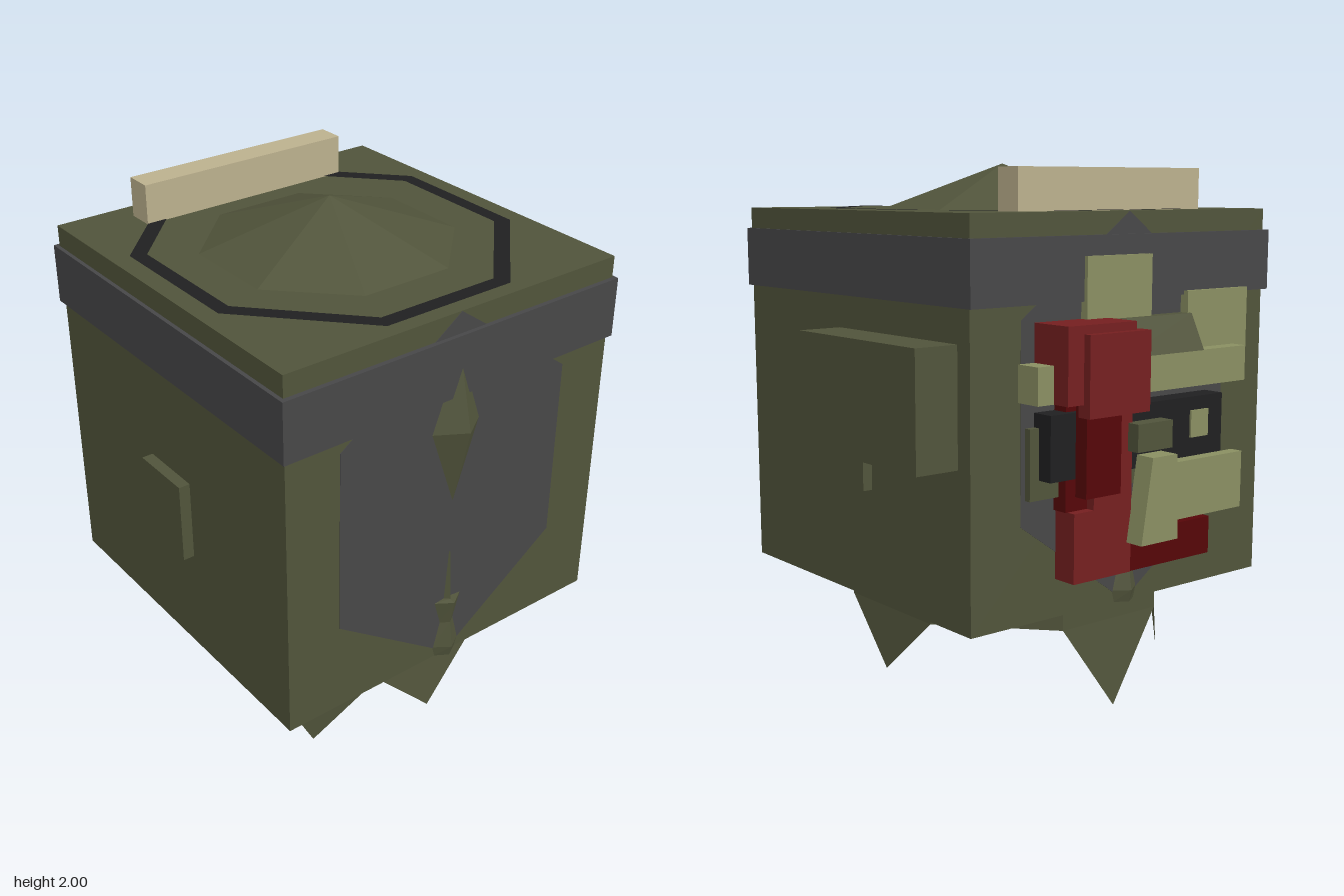
import * as THREE from 'three';

const mat = (name, color, extra = {}) => {
  const m = new THREE.MeshStandardMaterial({ color, ...extra });
  m.name = name;
  return m;
};

export function createModel() {
  const root = new THREE.Group();
  root.name = 'cubeDevice';
  const olive = mat('olive', 0x51543b, { flatShading: true });
  const oliveThin = mat('oliveThin', 0x51543b, { side: THREE.DoubleSide });
  const lightOlive = mat('lightOlive', 0x8a8f62);
  const grey = mat('grey', 0x474748);
  const black = mat('black', 0x202021);
  const tan = mat('tan', 0xbcb18e);
  const red = mat('red', 0x751f20);
  const darkRed = mat('darkRed', 0x560608);
  const CX = -0.065, CZ = 0.065;

  const add = (name, geo, material, parent = root) => {
    const mesh = new THREE.Mesh(geo, material);
    mesh.name = name;
    parent.add(mesh);
    return mesh;
  };
  // Box given by its limits on each axis
  const box = (name, material, x0, x1, y0, y1, z0, z1, parent) => {
    const mesh = add(name, new THREE.BoxGeometry(x1 - x0, y1 - y0, z1 - z0), material, parent);
    mesh.position.set((x0 + x1) / 2, (y0 + y1) / 2, (z0 + z1) / 2);
    return mesh;
  };
  const extrude = (pts, depth) => new THREE.ExtrudeGeometry(
    new THREE.Shape(pts.map(p => new THREE.Vector2(...p))), { depth, bevelEnabled: false });
  const polygons = (points, index) => {
    const g = new THREE.BufferGeometry();
    g.setAttribute('position', new THREE.Float32BufferAttribute(points.flat(), 3));
    g.setIndex(index);
    const flat = g.toNonIndexed();
    flat.computeVertexNormals();
    return flat;
  };

  // Main body, band and side housings
  box('body', olive, -0.772, 0.642, 0.42, 1.83, -0.642, 0.772);
  box('band', grey, -0.787, 0.653, 1.525, 1.75, -0.66, 0.79);
  box('sideHousing', olive, 0.64, 0.812, 0.985, 1.405, -0.575, 0.135);
  box('leftPad', olive, 0.64, 0.68, 0.83, 1.14, -0.06, 0.19);
  box('rightPad', olive, -0.815, -0.77, 0.83, 1.14, -0.06, 0.19);
  box('topBar', tan, -0.505, 0.37, 1.83, 1.98, -0.555, -0.45);

  // Faceted roof and the dark inlay around it
  const roof = add('roofCone', new THREE.ConeGeometry(0.47, 0.17, 8), olive);
  roof.position.set(CX, 1.915, CZ);
  roof.rotation.y = Math.PI / 8;
  const ringGeo = new THREE.RingGeometry(0.63, 0.69, 8, 1, Math.PI / 8).scale(1, 1.06, 1);
  const ring = add('roofInlay', ringGeo, black);
  ring.position.set(CX, 1.833, 0.04);
  ring.rotation.x = -Math.PI / 2;

  // Hexagonal inlays and finials on the front and back
  const hex = [[0, 0.42], [0.493, 0.77], [0.493, 1.475], [0, 1.829], [-0.493, 1.475], [-0.493, 0.77]];
  const rows = [[0.88, 0.006, 0.006], [0.675, 0.02, 0.02], [0.67, 0.065, 0.042],
    [0.57, 0.035, 0.025], [0.465, 0.062, 0.042], [0.42, 0.05, 0.03]];
  const finialIndex = [];
  for (let i = 0; i < rows.length - 1; i++) {
    for (let j = 0; j < 2; j++) {
      const a = i * 3 + j, b = a + 3;
      finialIndex.push(a, b, a + 1, b, b + 1, a + 1);
    }
  }
  const last = (rows.length - 1) * 3;
  finialIndex.push(last, last + 2, last + 1);
  const finialGeo = polygons(rows.flatMap(([y, w, d]) => [[-w, y, 0], [0, y, d], [w, y, 0]]), finialIndex);
  for (const [name, z, turn] of [['front', 0.771, 0], ['back', -0.641, Math.PI]]) {
    const face = new THREE.Group();
    face.name = name + 'Trim';
    face.position.set(CX, 0, z);
    face.rotation.y = turn;
    root.add(face);
    add(name + 'Inlay', extrude(hex, 0.003), grey, face);
    add(name + 'Finial', finialGeo, olive, face);
  }
  // Diamond stud on the front
  add('frontDiamond', polygons(
    [[CX, 1.405, 0.845], [CX, 1.71, 0.77], [CX - 0.113, 1.4, 0.77], [CX, 1.08, 0.77], [CX + 0.107, 1.4, 0.77]],
    [0, 1, 2, 0, 2, 3, 0, 3, 4, 0, 4, 1]), olive);

  // Broken octagonal skirt: direction in eighths from +x towards +z, spike tip height
  const skirt = [[0, 0.095], [2, 0.095], [3, 0.005], [5, 0.095], [6, 0], [7, null]];
  const corner = (e, y, scale = 1) => {
    const a = e * Math.PI / 4;
    return [CX + 0.606 * scale * Math.cos(a), y, 0.048 + 0.67 * scale * Math.sin(a)];
  };
  for (const [e, tip] of skirt) {
    const pts = [corner(e - 0.5, 0.42), corner(e + 0.5, 0.42), corner(e + 0.5, 0.33), corner(e - 0.5, 0.33)];
    const index = [0, 1, 2, 0, 2, 3];
    if (tip !== null) {
      pts.push(corner(e, tip, 0.96));
      index.push(3, 2, 4);
    }
    add('skirtSpike', polygons(pts, index), oliveThin);
  }

  // Machinery on the back
  const rear = new THREE.Group();
  rear.name = 'rearMachinery';
  root.add(rear);
  const parts = [
    ['redHousing', red, 0.06, 0.37, 1.2, 1.465, -0.815, -0.64],
    ['redCover', red, 0.02, 0.3, 1.155, 1.435, -0.845, -0.79],
    ['redStrut', darkRed, 0.12, 0.28, 0.875, 1.2, -0.81, -0.755],
    ['redBacking', darkRed, 0.1, 0.28, 0.81, 1.2, -0.705, -0.64],
    ['redColumn', red, 0, 0.18, 0.81, 1.2, -0.74, -0.64],
    ['redColumnBase', red, 0, 0.27, 0.56, 0.81, -0.74, -0.64],
    ['redFoot', darkRed, -0.41, 0, 0.56, 0.7, -0.735, -0.64],
    ['upperPlate', lightOlive, -0.15, 0.16, 1.35, 1.68, -0.675, -0.64],
    ['cornerPlate', lightOlive, -0.65, -0.33, 1.25, 1.54, -0.68, -0.64],
    ['crossBar', lightOlive, -0.575, 0.44, 1.2, 1.33, -0.745, -0.64],
    ['screenBack', olive, -0.45, 0.41, 0.86, 1.11, -0.67, -0.64],
    ['screenBox', black, -0.47, 0.37, 0.93, 1.16, -0.73, -0.64],
    ['screenButton', lightOlive, -0.39, -0.3, 1.01, 1.11, -0.738, -0.73],
    ['smallBlock', olive, -0.15, 0.02, 1.0, 1.1, -0.79, -0.64],
    ['lowerBox', lightOlive, -0.49, -0.13, 0.74, 0.95, -0.815, -0.765],
  ];
  for (const [name, material, ...limits] of parts) box(name, material, ...limits, rear);

  // Tapered bracket beside the lower box
  const bracket = add('taperedBracket',
    extrude([[-0.16, 0.67], [0.02, 0.67], [-0.03, 0.98], [-0.15, 0.98]], 0.08), lightOlive, rear);
  bracket.position.z = -0.815;

  // Sloped ridge on the cross bar, its outer end splayed towards the wall
  const ridgeGeo = extrude([[0.64, 1.46], [0.64, 1.33], [0.755, 1.33], [0.69, 1.46]], 0.4);
  const rp = ridgeGeo.attributes.position;
  for (let i = 0; i < rp.count; i++) {
    if (rp.getZ(i) < 0.01 && rp.getY(i) < 1.4 && rp.getX(i) < 0.7) rp.setZ(i, -0.07);
  }
  const ridge = add('slopedRidge', ridgeGeo, olive, rear);
  ridge.rotation.y = Math.PI / 2;
  ridge.position.x = -0.34;

  return root;
}
